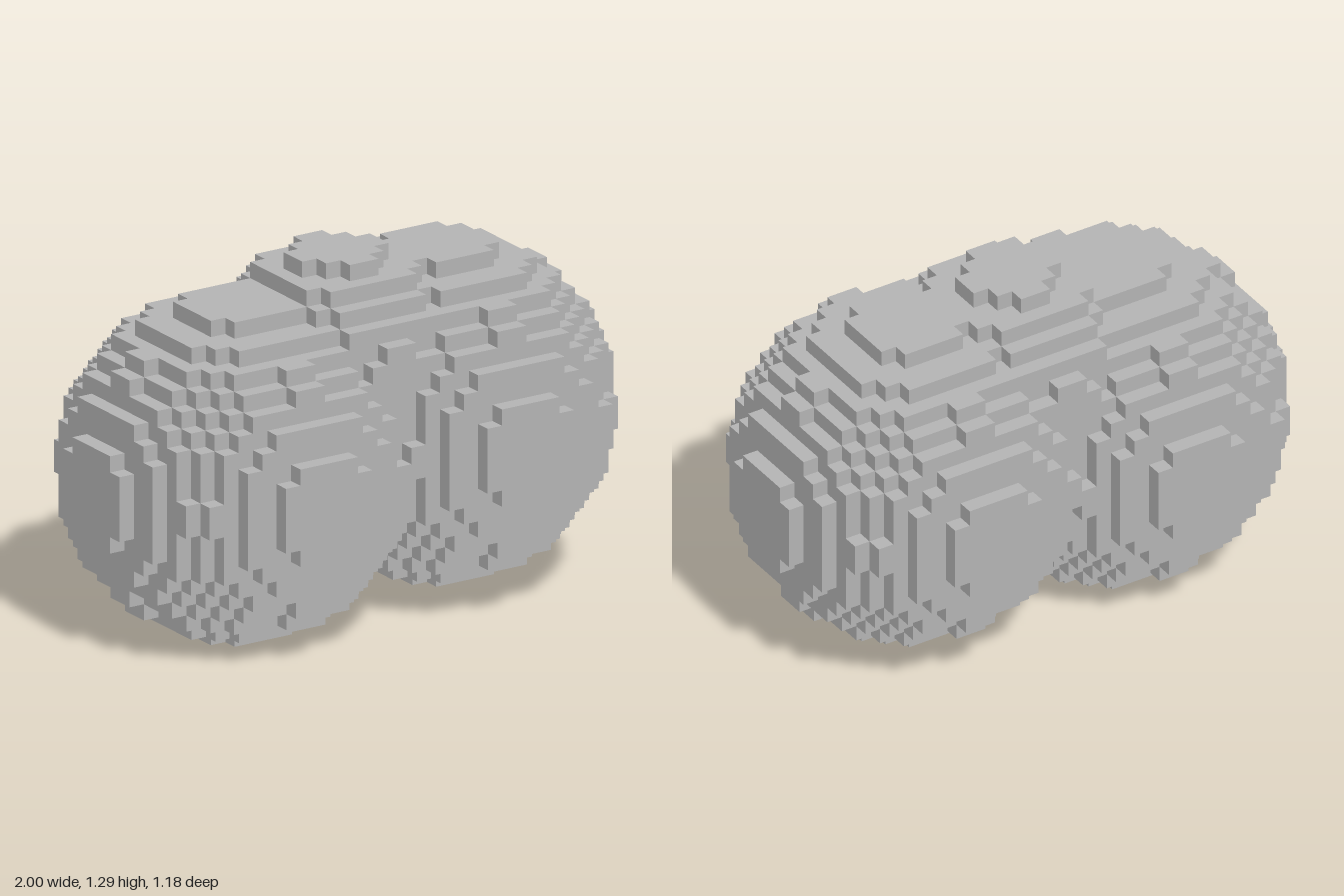
import * as THREE from 'three';

const S = 2 / 34; // edge of one cube

// Lobes as spheres on the cube grid: centre and radius in cubes
const LOBES = [
  { name: 'rightLobe', c: [-7, 10, 0], r: 10 },
  { name: 'leftLobe', c: [7, 11, 0], r: 10 },
  { name: 'topLobe', c: [0, 15, 0], r: 7 },
];

// Index of the first lobe holding the cube at i, j, k, or -1 when empty
function lobeAt(p) {
  return LOBES.findIndex(({ c, r }) =>
    c.reduce((sum, v, a) => sum + (p[a] + 0.5 - v) ** 2, 0) <= r * r);
}

// Adds the square face of cube p that looks along axis a (dir is 1 or -1)
function addFace(out, p, a, dir) {
  const u = (a + 1) % 3, v = (a + 2) % 3;
  const corner = (du, dv) => {
    const q = [...p];
    if (dir > 0) q[a] += 1;
    q[u] += du;
    q[v] += dv;
    return q.map((n) => n * S);
  };
  const quad = [corner(0, 0), corner(1, 0), corner(1, 1), corner(0, 1)];
  if (dir < 0) quad.reverse();
  for (const i of [0, 1, 2, 0, 2, 3]) out.push(...quad[i]);
}

export function createModel() {
  const group = new THREE.Group();
  group.name = 'steppedLobes';
  const grey = new THREE.MeshStandardMaterial({ color: 0xb3b3b3 });
  grey.name = 'grey';

  // Collect only the outer faces of the joined lobes
  const faces = LOBES.map(() => []);
  for (let i = -17; i < 17; i++) {
    for (let j = 0; j < 22; j++) {
      for (let k = -10; k < 10; k++) {
        const p = [i, j, k];
        const lobe = lobeAt(p);
        if (lobe < 0) continue;
        for (let a = 0; a < 3; a++) {
          for (const dir of [-1, 1]) {
            const next = [...p];
            next[a] += dir;
            if (lobeAt(next) < 0) addFace(faces[lobe], p, a, dir);
          }
        }
      }
    }
  }

  // One mesh per lobe
  LOBES.forEach(({ name }, n) => {
    const geometry = new THREE.BufferGeometry();
    geometry.setAttribute('position', new THREE.Float32BufferAttribute(faces[n], 3));
    geometry.computeVertexNormals();
    const mesh = new THREE.Mesh(geometry, grey);
    mesh.name = name;
    group.add(mesh);
  });
  return group;
}
